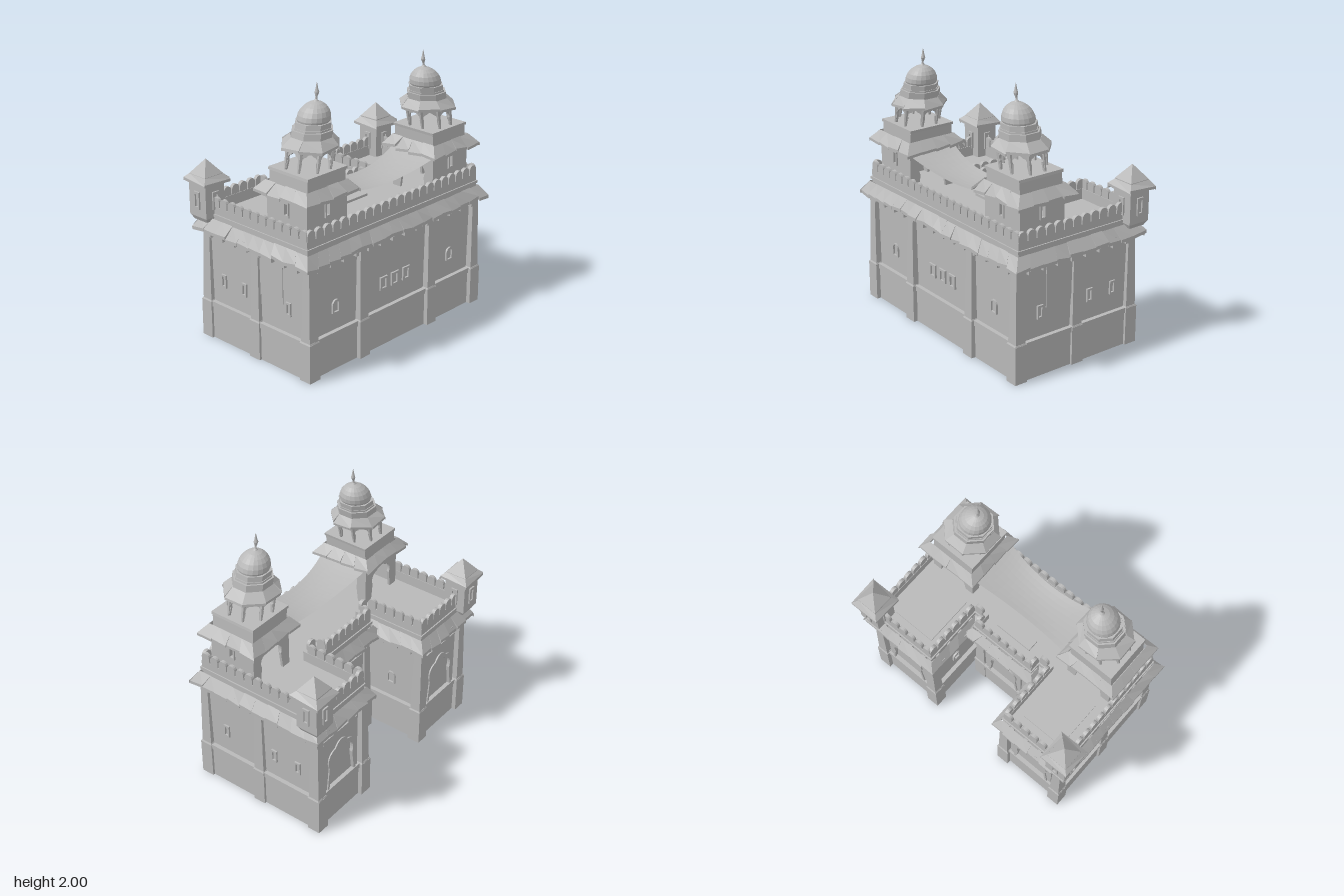
import * as THREE from 'three';
import { mergeGeometries } from 'three/addons/utils/BufferGeometryUtils.js';

const stone = new THREE.MeshStandardMaterial({ color: 0xb8b8b8, flatShading: true, side: THREE.DoubleSide });
stone.name = 'grey stone';

let seed = 7;
const rnd = () => ((seed = (seed * 16807) % 2147483647) / 2147483647) - 0.5;

// Merge a list of geometries into one named mesh
function add(parent, name, list) {
  const clean = list.map(g => {
    const n = g.index ? g.toNonIndexed() : g;
    n.deleteAttribute('uv');
    n.clearGroups();
    return n;
  });
  const mesh = new THREE.Mesh(mergeGeometries(clean), stone);
  mesh.name = name;
  parent.add(mesh);
}

const box = (w, h, d, x, y, z) => new THREE.BoxGeometry(w, h, d).translate(x, y + h / 2, z);

// Box standing on y, with its top scaled by k
function taper(w, h, d, x, y, z, k) {
  const g = new THREE.BoxGeometry(w, h, d), p = g.attributes.position;
  for (let i = 0; i < p.count; i++) if (p.getY(i) > 0) p.setXYZ(i, p.getX(i) * k, p.getY(i), p.getZ(i) * k);
  g.translate(x, y + h / 2, z);
  g.computeVertexNormals();
  return g;
}

// Plan outlines are [x, z] loops; offset moves every edge outward by d
function edges(poly) {
  return poly.map((a, i) => {
    const b = poly[(i + 1) % poly.length], len = Math.hypot(b[0] - a[0], b[1] - a[1]);
    const dx = (b[0] - a[0]) / len, dz = (b[1] - a[1]) / len;
    return { a, b, len, dx, dz, nx: -dz, nz: dx };
  });
}
function offset(poly, d) {
  const e = edges(poly);
  return poly.map((p, i) => {
    const m = e[(i + e.length - 1) % e.length], n = e[i];
    const k = d / (1 + m.nx * n.nx + m.nz * n.nz);
    return [p[0] + (m.nx + n.nx) * k, p[1] + (m.nz + n.nz) * k];
  });
}
const ngon = (n, apothem, x = 0, z = 0) => Array.from({ length: n }, (_, i) => {
  const a = (i - 0.5) * 2 * Math.PI / n, r = apothem / Math.cos(Math.PI / n);
  return [x + Math.sin(a) * r, z + Math.cos(a) * r];
});

// Upright prism or ring over an outline
function prism(poly, y0, y1, hole) {
  const pts = p => p.map(([x, z]) => new THREE.Vector2(x, -z));
  const s = new THREE.Shape(pts(poly));
  if (hole) s.holes.push(new THREE.Path(pts(hole)));
  return new THREE.ExtrudeGeometry(s, { depth: y1 - y0, bevelEnabled: false }).rotateX(-Math.PI / 2).translate(0, y0, 0);
}

// Sloping eave of separate, slightly uneven slabs around an outline
function eave(poly, out, yTop, yLow, tile, thick = 0.02, rough = 1) {
  const rim = offset(poly, out), list = [];
  edges(poly).forEach(({ a, b, len }, i) => {
    const c = rim[i], d = rim[(i + 1) % rim.length], n = Math.max(1, Math.round(len / tile));
    for (let k = 0; k < n; k++) {
      const t0 = k / n, t1 = (k + 1) / n;
      const drop = rnd() * 0.018 * rough, tilt = rnd() * 0.02 * rough, s = 1 + rnd() * 0.25 * rough;
      const at = (p, q, t, y) => [p[0] + (q[0] - p[0]) * t, y, p[1] + (q[1] - p[1]) * t];
      const push = (u, v, y) => [u[0] + (v[0] - u[0]) * s, y, u[2] + (v[2] - u[2]) * s];
      const i0 = at(a, b, t0, yTop + drop * 0.4), i1 = at(a, b, t1, yTop + drop * 0.4), y = yLow + thick + drop;
      const top = [i0, push(i0, at(c, d, t0, 0), y + tilt), push(i1, at(c, d, t1, 0), y - tilt), i1];
      const low = top.map(([px, py, pz]) => [px, py - thick, pz]);
      const g = new THREE.BufferGeometry();
      g.setAttribute('position', new THREE.Float32BufferAttribute([...top, ...low].flat(), 3));
      const idx = [0, 1, 2, 0, 2, 3, 4, 6, 5, 4, 7, 6];
      for (let m = 0; m < 4; m++) { const q = (m + 1) % 4; idx.push(m, m + 4, q + 4, m, q + 4, q); }
      g.setIndex(idx);
      const f = g.toNonIndexed();
      f.computeVertexNormals();
      list.push(f);
    }
  });
  return list;
}

// Scalloped arch points from left foot to right foot
function archPoints(w, h) {
  const pts = [[-w, 0]], spring = h * 0.5;
  for (let i = 0; i <= 24; i++) {
    const t = Math.PI * (1 - i / 24), r = 0.86 + 0.14 * Math.abs(Math.sin(3 * t));
    pts.push([Math.cos(t) * w * r, spring + Math.sin(t) * (h - spring) * r]);
  }
  return [...pts, [w, 0]];
}
const extrude = (pts, depth, hole) => {
  const v = p => p.map(q => new THREE.Vector2(...q)), s = new THREE.Shape(v(pts));
  if (hole) s.holes.push(new THREE.Path(v(hole)));
  return new THREE.ExtrudeGeometry(s, { depth, bevelEnabled: false });
};
const rect = (w, y0, y1) => [[-w, y0], [w, y0], [w, y1], [-w, y1]];
const archway = (w, h, aw, ah, depth) => extrude([[-w, 0], ...archPoints(aw, ah), [w, 0], [w, h], [-w, h]], depth);
const round = (w, h) => [[-w, 0], [w, 0], ...Array.from({ length: 9 }, (_, i) =>
  [Math.cos(i * Math.PI / 8) * w, h - w + Math.sin(i * Math.PI / 8) * w])];
const place = (g, x, y, z, nx, nz) => g.rotateY(Math.atan2(nx, nz)).translate(x, y, z);
const frame = (arched, w = 0.038, h = 0.1) => arched
  ? extrude(round(w, h), 0.014, round(w * 0.6, h * 0.82).map(([x, y]) => [x, y + 0.008]))
  : extrude(rect(w, 0, h), 0.014, rect(w * 0.55, h * 0.15, h * 0.85));

const WALL = [[-.87, .5], [.87, .5], [.87, -.485], [.36, -.485], [.36, 0], [.25, 0], [.25, -.09],
  [-.25, -.09], [-.25, 0], [-.36, 0], [-.36, -.485], [-.87, -.485]];

function addTower(root, s) {
  const tower = new THREE.Group(), cx = s * 0.64, cz = 0.27;
  tower.name = s > 0 ? 'leftTower' : 'rightTower';
  root.add(tower);
  const square = h => ngon(4, h), octo = a => ngon(8, a);
  // Hollow room: windows outward, open archways inward and to the back
  const slit = () => extrude(rect(0.19, 0, 0.32), 0.02, rect(0.014, 0.19, 0.27));
  const door = () => archway(0.19, 0.32, 0.12, 0.26, 0.02);
  const slitFrame = () => extrude(rect(.026, 0, .11), .012, rect(.014, .015, .095));
  add(tower, 'towerRoom', [
    place(slit(), 0, .95, .17, 0, 1), place(slit(), s * .17, .95, 0, s, 0),
    place(door(), -s * .17, .95, 0, -s, 0), place(door(), 0, .95, -.17, 0, -1),
    place(slitFrame(), 0, 1.125, .19, 0, 1), place(slitFrame(), s * .19, 1.125, 0, s, 0)]);
  add(tower, 'towerEave', eave(square(.195), .056, 1.345, 1.255, .1));
  add(tower, 'towerBlock', [prism(square(.18), 1.26, 1.42), prism(square(.187), 1.415, 1.435)]);
  // Open eight-sided kiosk
  const panels = [], posts = [];
  for (let i = 0; i < 8; i++) {
    const a = i * Math.PI / 4, nx = Math.sin(a), nz = Math.cos(a), c = a + Math.PI / 8;
    panels.push(place(archway(.064, .16, .053, .125, .016), nx * .138, 1.435, nz * .138, nx, nz));
    posts.push(new THREE.CylinderGeometry(.018, .009, .15, 6).translate(Math.sin(c) * .162, 1.51, Math.cos(c) * .162));
  }
  add(tower, 'kioskArches', panels);
  add(tower, 'kioskPosts', posts);
  add(tower, 'kioskEave', eave(octo(.14), .05, 1.645, 1.57, .13, .018));
  add(tower, 'drum', [prism(octo(.138), 1.59, 1.64), prism(octo(.136), 1.64, 1.692), prism(octo(.119), 1.692, 1.742), prism(octo(.124), 1.692, 1.705)]);
  const lathe = pts => new THREE.LatheGeometry(pts.map(p => new THREE.Vector2(...p)), 20);
  add(tower, 'dome', [lathe([[.108, 1.735], [.115, 1.755], [.112, 1.785], [.099, 1.815], [.078, 1.84], [.05, 1.86], [.02, 1.872], [0, 1.876]])]);
  add(tower, 'finial', [lathe([[.022, 1.868], [.008, 1.885], [.007, 1.9], [.016, 1.93], [.009, 1.955], [.004, 1.985], [0, 2]])]);
  // Upper storeys lean towards the middle
  tower.children.forEach(m => {
    const p = m.geometry.attributes.position;
    for (let i = 0; i < p.count; i++) {
      const lean = .18 * Math.max(0, Math.min(p.getY(i), 1.93) - 1.36);
      p.setXYZ(i, p.getX(i) + cx - s * lean, p.getY(i), p.getZ(i) + cz);
    }
    m.geometry.computeVertexNormals();
  });
}

function addTurret(root, s) {
  const turret = new THREE.Group(), x = s * .875, z = -.485;
  turret.name = s > 0 ? 'leftTurret' : 'rightTurret';
  root.add(turret);
  const parts = [box(.172, .29, .172, x, .95, z), taper(.13, .04, .13, x, .915, z, 1.32)];
  for (const [nx, nz] of [[0, 1], [1, 0], [0, -1], [-1, 0]])
    parts.push(place(frame(false, .027, .13), x + nx * .084, 1.01, z + nz * .084, nx, nz));
  add(turret, 'turretBody', parts);
  add(turret, 'turretEave', eave(ngon(4, .083, x, z), .033, 1.25, 1.19, .2));
  add(turret, 'turretRoof', [box(.165, .03, .165, x, 1.225, z), taper(.165, .105, .165, x, 1.255, z, .02)]);
}

export function createModel() {
  const root = new THREE.Group();
  root.name = 'palace';

  // Plinth, open underneath, and main walls
  add(root, 'plinth', [prism(offset(WALL, .022), 0, .25, WALL), prism(offset(WALL, .032), .25, .29, offset(WALL, -.01))]);
  add(root, 'walls', [prism(WALL, .25, .95)]);
  const feet = [], pilasters = [];
  for (const s of [1, -1]) for (const [x, z] of [[.86, .505], [.36, .505], [.86, .008], [.86, -.49], [.36, -.49], [.36, .008], [.23, -.07]]) {
    feet.push(prism(ngon(4, .05, s * x, z), 0, .285, ngon(4, .046, s * x, z)), taper(.1, .012, .1, s * x, .283, z, .88));
    pilasters.push(taper(.084, .56, .084, s * x, .29, z, .72));
  }
  add(root, 'pilasterFeet', feet);
  add(root, 'pilasters', pilasters);

  // Thin pointed panels on the side walls
  const notched = [[-.115, .8], [-.115, .49], [0, .555], [.115, .49], [.115, .8]];
  add(root, 'sidePanels', [1, -1].map(s => place(extrude(notched, .006), s * .87, 0, .15, s, 0)));

  // Eave, brackets and battlements follow the outline
  add(root, 'mainEave', eave(offset(WALL, .028), .052, .94, .838, .1, .024));
  const brackets = [], merlons = [];
  for (const { a, len, dx, dz, nx, nz } of edges(WALL)) {
    const n = Math.max(1, Math.round(len / .122));
    for (let i = 0; i < n; i++) {
      const t = (i + .5) / n * len, x = a[0] + dx * t, z = a[1] + dz * t;
      brackets.push(place(box(.03, .05, .064, 0, 0, .032), x, .83, z, nx, nz), place(box(.026, .04, .03, 0, 0, .035), x, .797, z, nx, nz));
    }
  }
  for (const { a, len, dx, dz, nx, nz } of edges(offset(WALL, .015))) {
    const n = Math.max(1, Math.round(len / .081));
    for (let i = 0; i < n; i++) {
      const t = (i + .5) / n * len;
      merlons.push(place(extrude(round(Math.min(.035, len / n * .44), .09), .026), a[0] + dx * t - nx * .026, 1.012, a[1] + dz * t - nz * .026, nx, nz));
    }
  }
  add(root, 'brackets', brackets);
  add(root, 'parapet', [prism(offset(WALL, .015), .93, 1.03, offset(WALL, -.014)), prism(offset(WALL, .024), .955, .975, WALL)]);
  add(root, 'merlons', merlons);
  add(root, 'roofSlabs', [box(.34, .012, .39, .61, .948, -.195), box(.34, .012, .39, -.61, .948, -.195), box(.3, .02, .09, 0, .948, .055)]);

  // Windows
  const windows = [-.12, 0, .12].map(x => place(frame(false), x, .425, .5, 0, 1));
  for (const s of [1, -1]) {
    windows.push(place(frame(true), s * .605, .42, .5, 0, 1), place(frame(true), s * .36, .42, -.24, -s, 0));
    for (const z of [.32, -.12, -.33]) windows.push(place(frame(false, .024), s * .87, .425, z, s, 0));
  }
  add(root, 'windowFrames', windows);

  // Scalloped niches on the back faces
  const niches = [];
  for (const [x, z, w] of [[.61, -.485, .19], [-.61, -.485, .19], [0, -.09, .17]]) {
    niches.push(place(archway(w, .45, w * .74, .33, .016), x, .29, z, 0, -1));
    niches.push(place(extrude([...archPoints(w * .84, .37), ...archPoints(w * .74, .33).reverse()], .026), x, .29, z, 0, -1));
  }
  add(root, 'backNiches', niches);

  // Sagging cloth between the towers
  const cloth = new THREE.PlaneGeometry(2, 2, 24, 8), p = cloth.attributes.position;
  for (let i = 0; i < p.count; i++) {
    const u = p.getX(i), v = p.getY(i);
    p.setXYZ(i, u * (.43 + .025 * v * v), 1.178 + .085 * u * u - .015 * (1 - v * v), .275 - v * (.155 + .05 * u * u));
  }
  cloth.computeVertexNormals();
  add(root, 'clothCanopy', [cloth]);

  for (const s of [1, -1]) { addTower(root, s); addTurret(root, s); }
  return root;
}
